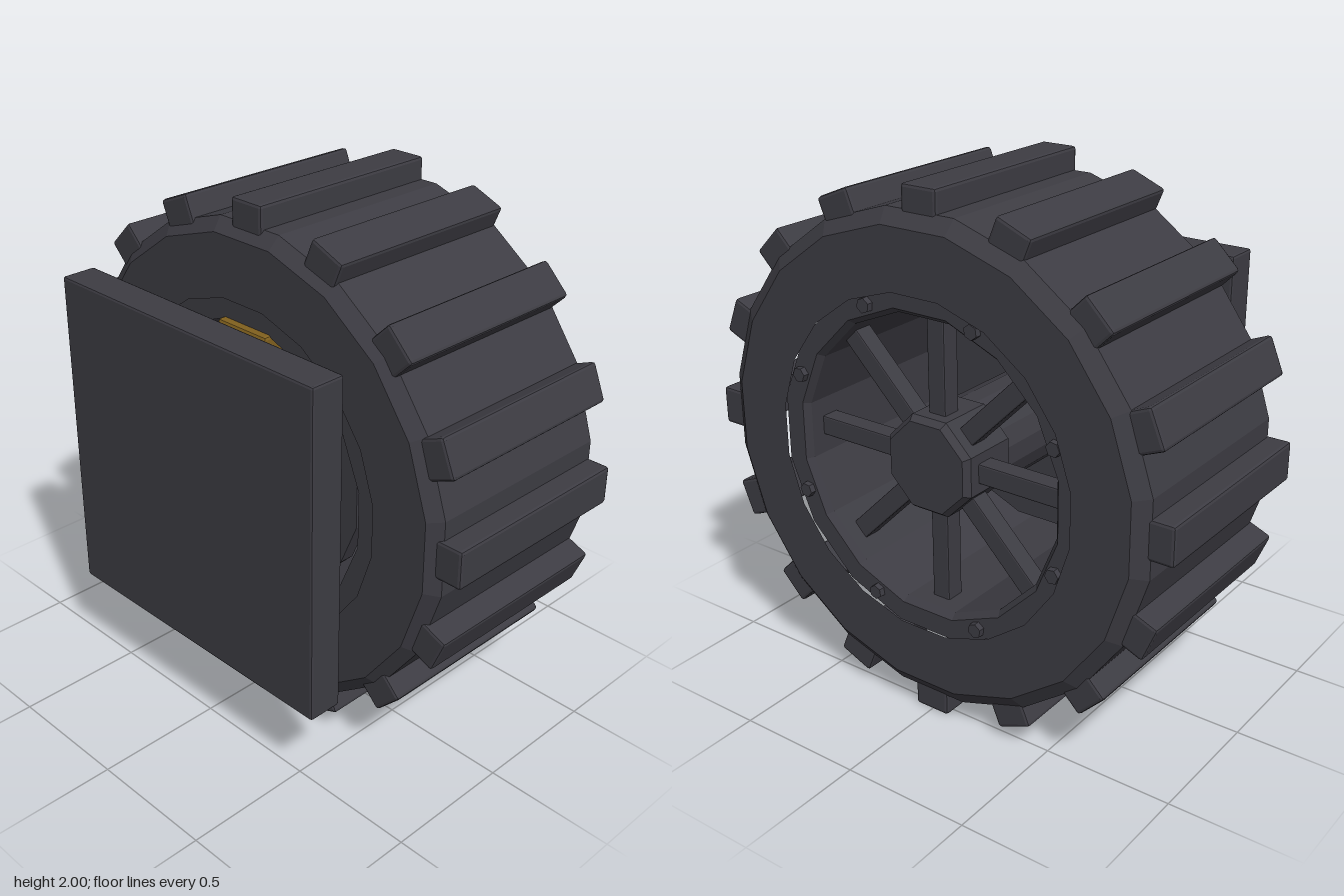
import * as THREE from 'three';
import { RoundedBoxGeometry } from 'three/addons/geometries/RoundedBoxGeometry.js';

export function createModel() {
  const model = new THREE.Group();
  const mat = (name, color) => {
    const m = new THREE.MeshStandardMaterial({ color, flatShading: true });
    m.name = name;
    return m;
  };
  const dark = mat('dark gunmetal', 0x3d3c43);
  const gold = mat('dull gold', 0x80601e);

  // the wheel turns around the x axis at a height of 1
  const wheel = new THREE.Group();
  wheel.name = 'wheelAssembly';
  wheel.position.y = 1;
  model.add(wheel);

  const add = (name, geo, material = dark, parent = wheel) => {
    const mesh = new THREE.Mesh(geo, material);
    mesh.name = name;
    parent.add(mesh);
    return mesh;
  };
  // ring or drum around x from [radius, x] points, with a flat side at the top
  const turned = (name, sides, points) => {
    const geo = new THREE.LatheGeometry(
      points.map(([r, x]) => new THREE.Vector2(r, x)), sides, Math.PI / sides);
    geo.rotateZ(-Math.PI / 2);
    return add(name, geo);
  };
  const spun = (name, count, start, make) => {
    for (let i = 0; i < count; i++) {
      const pivot = new THREE.Group();
      pivot.name = name + 'Pivot';
      pivot.rotation.x = start + (i / count) * Math.PI * 2;
      wheel.add(pivot);
      make(pivot);
    }
  };
  const bolts = (name, start, radius, x, length) =>
    spun(name, 8, start, (pivot) => {
      const bolt = add(name, new THREE.CylinderGeometry(0.028, 0.03, length, 6), dark, pivot);
      bolt.rotation.z = -Math.PI / 2;
      bolt.position.set(x, radius, 0);
    });

  // tyre with chamfered shoulders
  turned('tyre', 20, [
    [0.64, -0.29], [0.875, -0.29], [0.925, -0.25], [0.925, 0.54],
    [0.87, 0.58], [0.64, 0.58],
  ]);

  // rim: outer lips and open barrel
  turned('rim', 16, [
    [0.56, -0.27], [0.66, -0.27], [0.66, 0.555], [0.58, 0.555], [0.56, 0.53], [0.56, -0.27],
  ]);

  // tread blocks
  spun('treadBlock', 16, 0, (pivot) => {
    const block = add('treadBlock', new RoundedBoxGeometry(0.81, 0.12, 0.148, 1, 0.012), dark, pivot);
    block.position.set(0.14, 0.94, 0);
  });

  // spokes
  spun('spoke', 8, 0, (pivot) => {
    const spoke = add('spoke', new RoundedBoxGeometry(0.075, 0.42, 0.075, 1, 0.006), dark, pivot);
    spoke.position.set(0.435, 0.355, 0);
  });
  bolts('rimBolt', Math.PI / 8, 0.605, 0.56, 0.035);

  // hub cap, axle and brake disc
  turned('hub', 8, [
    [0, 0.3], [0.195, 0.3], [0.195, 0.515], [0.175, 0.54], [0, 0.54],
  ]);
  turned('axle', 16, [[0, -0.45], [0.18, -0.45], [0.18, 0.35], [0, 0.35]]);
  turned('brakeDisc', 16, [[0, -0.2], [0.485, -0.2], [0.485, -0.14], [0, -0.14]]);

  // brake caliper over the top of the disc
  const caliper = add('brakeCaliper', new RoundedBoxGeometry(0.24, 0.205, 0.245, 1, 0.012), gold);
  caliper.position.set(-0.178, 0.449, 0);

  // square mounting plate
  const plate = add('mountingPlate', new RoundedBoxGeometry(0.137, 1.28, 1.28, 1, 0.01));
  plate.position.x = -0.5115;

  // four tapered gussets between plate and axle
  const outline = new THREE.Shape([
    [-0.45, 0.1], [-0.19, 0.1], [-0.19, 0.34], [-0.45, 0.625],
  ].map(([x, y]) => new THREE.Vector2(x, y)));
  const gussetGeo = new THREE.ExtrudeGeometry(outline, { depth: 0.06, bevelEnabled: false });
  gussetGeo.translate(0, 0, -0.03);
  spun('gusset', 4, 0, (pivot) => add('gusset', gussetGeo, dark, pivot));
  bolts('plateBolt', 0, 0.545, -0.43, 0.045);

  return model;
}
